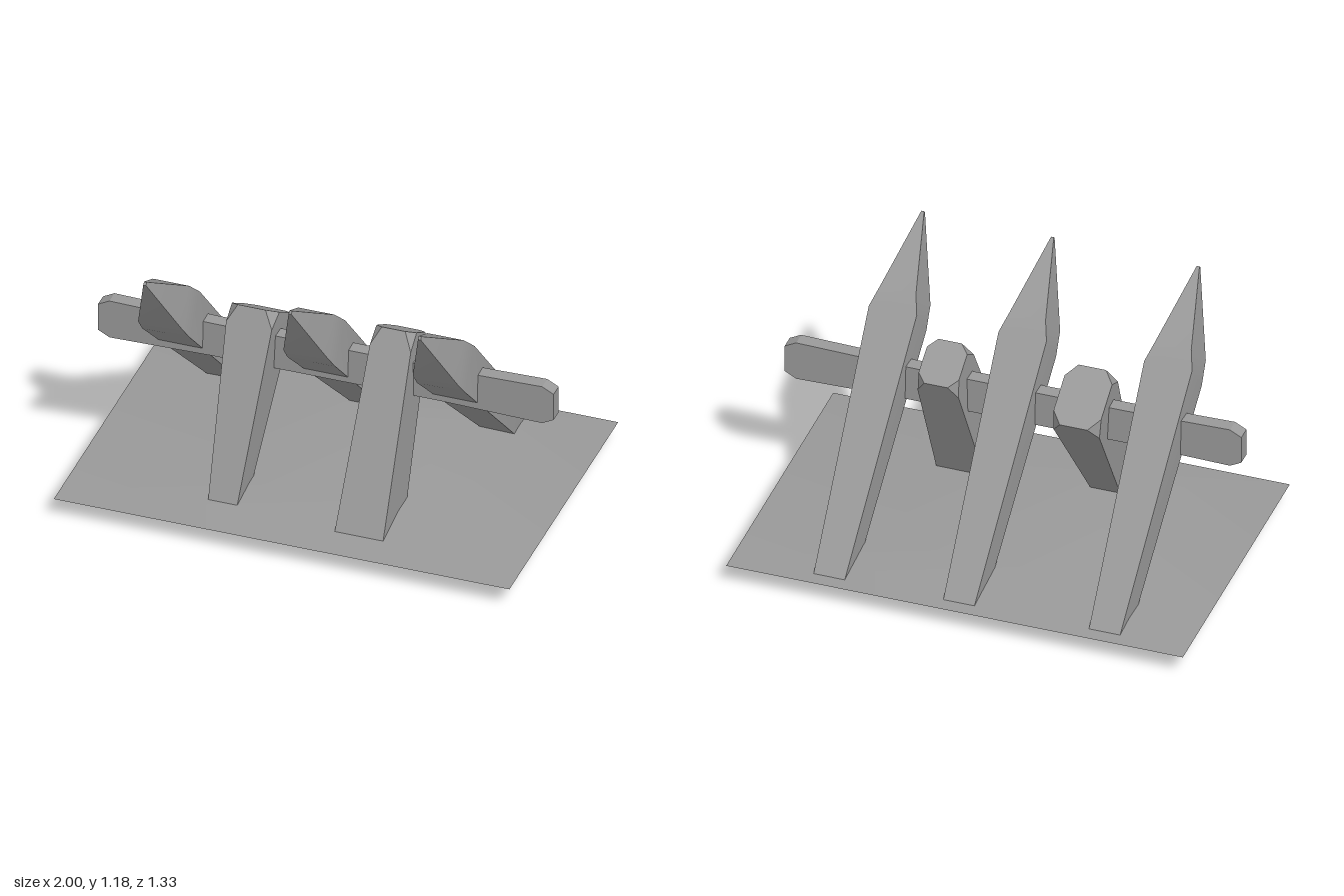
import * as THREE from 'three';
import { toCreasedNormals } from 'three/addons/utils/BufferGeometryUtils.js';

const material = new THREE.MeshStandardMaterial({ color: 0x999999, side: THREE.DoubleSide });

// Skin a list of equal-length rings: open at the first, closed at the last.
function loft(rings) {
  const pos = [];
  const tri = (a, b, c) => {
    const area = b.clone().sub(a).cross(c.clone().sub(a)).length();
    if (area > 1e-8) for (const p of [a, b, c]) pos.push(p.x, p.y, p.z);
  };
  const n = rings[0].length;
  for (let i = 0; i + 1 < rings.length; i++) {
    const lo = rings[i], hi = rings[i + 1];
    for (let j = 0; j < n; j++) {
      const k = (j + 1) % n;
      tri(lo[j], lo[k], hi[k]);
      tri(lo[j], hi[k], hi[j]);
    }
  }
  const last = rings[rings.length - 1];
  for (let j = 1; j + 1 < n; j++) tri(last[0], last[j], last[j + 1]);
  const geo = new THREE.BufferGeometry();
  geo.setAttribute('position', new THREE.Float32BufferAttribute(pos, 3));
  return toCreasedNormals(geo, 0.5);
}

// Beam section between a front edge and a back edge, each [z, y, halfWidth]; c cuts the corners.
function ring(front, back, c = 0) {
  const s = 1 - c;
  const outline = [[1, -s], [1, s], [s, 1], [-s, 1], [-1, s], [-1, -s], [-s, -1], [s, -1]];
  return outline.map(([u, v]) => {
    const t = (v + 1) / 2;
    const [z, y, w] = front.map((f, i) => THREE.MathUtils.lerp(f, back[i], t));
    return new THREE.Vector3(u * w, y, z);
  });
}

function stakeGeometry() {
  return loft([
    ring([-0.525, 0, 0.068], [-0.615, 0.097, 0.068]),
    ring([0.30, 0.768, 0.105], [0.18, 0.922, 0.105]),
    ring([0.37, 0.848, 0.098], [0.24, 0.982, 0.08]),
    ring([0.563, 1.168, 0.006], [0.553, 1.179, 0.006]),
  ]);
}

// Leaning post with a chamfered, slanted top.
function postGeometry(frontLow, backLow, frontTop, backTop) {
  const mix = (a, b, t) => a.map((v, i) => THREE.MathUtils.lerp(v, b[i], t));
  return loft([
    ring(frontLow, backLow),
    ring(mix(frontLow, frontTop, 0.91), mix(backLow, backTop, 0.91)),
    ring(frontTop, backTop, 0.42),
  ]);
}

// Thin raised sheet: a rim rectangle sloping up to a level inner one.
function groundGeometry() {
  const pos = [];
  for (const [x, y, z] of [[1, 0.092, 0.665], [0.4, 0.146, 0.345]]) {
    pos.push(-x, y, z, x, y, z, x, y, -z, -x, y, -z);
  }
  const index = [4, 5, 6, 4, 6, 7];
  for (let i = 0; i < 4; i++) {
    const k = (i + 1) % 4;
    index.push(i, k, k + 4, i, k + 4, i + 4);
  }
  const geo = new THREE.BufferGeometry();
  geo.setAttribute('position', new THREE.Float32BufferAttribute(pos, 3));
  geo.setIndex(index);
  geo.computeVertexNormals();
  return geo;
}

export function createModel() {
  const model = new THREE.Group();
  const add = (name, geo, x = 0, y = 0, z = 0) => {
    const mesh = new THREE.Mesh(geo, material);
    mesh.name = name;
    mesh.position.set(x, y, z);
    model.add(mesh);
  };

  add('ground', groundGeometry());

  // Sharpened stakes
  const stake = stakeGeometry();
  ['rightStake', 'middleStake', 'leftStake'].forEach((name, i) => add(name, stake, [-0.638, 0, 0.568][i]));

  // Support posts
  add('rightPost', postGeometry(
    [0.51, 0.087, 0.062], [0.34, 0.087, 0.062], [0.14, 0.867, 0.104], [-0.095, 0.718, 0.104]), -0.32);
  add('leftPost', postGeometry(
    [0.55, 0.084, 0.107], [0.265, 0.084, 0.107], [0.11, 0.877, 0.088], [-0.07, 0.772, 0.088]), 0.292);

  // Crossbar, slightly waisted with clipped ends
  const half = [[0.5, -0.08], [0.95, -0.09], [1, -0.063], [1, 0.063], [0.95, 0.09], [0.5, 0.08]];
  const outline = [...half, ...half.map(([x, y]) => [-x, -y])].map(([x, y]) => new THREE.Vector2(x, y));
  const bar = new THREE.ExtrudeGeometry(new THREE.Shape(outline), { depth: 0.062, bevelEnabled: false });
  add('crossbar', bar, 0, 0.658, 0.063);

  return model;
}
